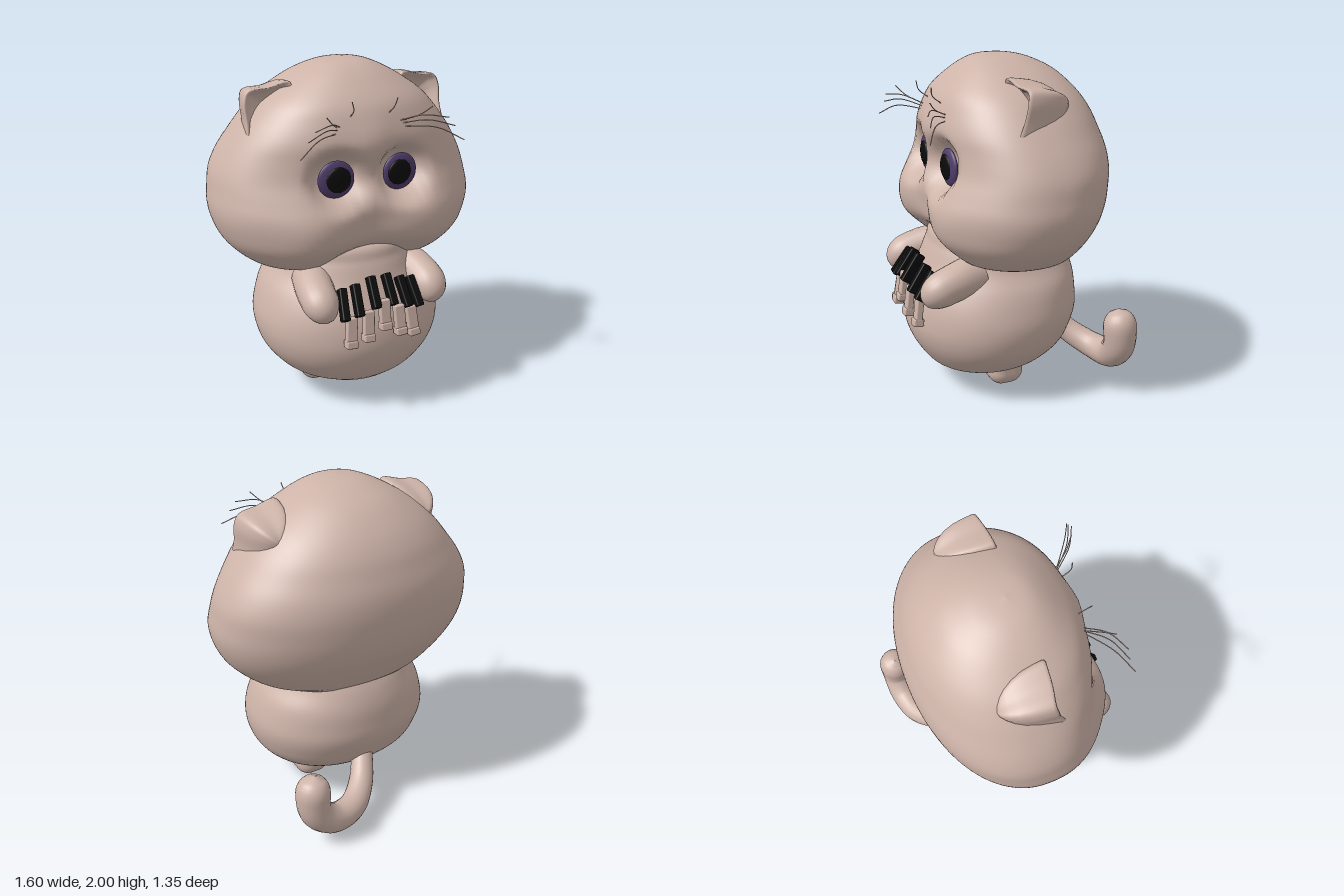
import * as THREE from 'three';
import { mergeVertices } from 'three/addons/utils/BufferGeometryUtils.js';
import { RoundedBoxGeometry } from 'three/addons/geometries/RoundedBoxGeometry.js';

const V = (x, y, z) => new THREE.Vector3(x, y, z);
const bell = (x, x0, w) => Math.exp(-(((x - x0) / w) ** 2));
const soft = (v, e) => Math.sign(v) * Math.abs(v) ** e;

// Smooth closed skin through a list of rings
function skin(rings) {
  const n = rings[0].length, index = [];
  for (let i = 0; i < rings.length - 1; i++) {
    for (let j = 0; j < n; j++) {
      const a = i * n + j, b = i * n + (j + 1) % n;
      index.push(a, b, a + n, b, b + n, a + n);
    }
  }
  const g = new THREE.BufferGeometry().setFromPoints(rings.flat());
  g.setIndex(index);
  g.computeVertexNormals();
  return g;
}

// Upright form from rows of [y, half width, front z, back z].
// Powers below 1 square the front and back outline; bump(x, y) pushes the front.
function upright(rows, frontPower, backPower, bump = () => 0, steps = 80, sides = 96) {
  const heights = new THREE.CatmullRomCurve3(rows.map(r => V(r[0], 0, 0)), false, 'catmullrom');
  const widths = new THREE.CatmullRomCurve3(rows.map(r => V(r[1], r[2], r[3])), false, 'catmullrom');
  const rings = [];
  for (let i = 0; i <= steps; i++) {
    const y = heights.getPoint(i / steps).x;
    const { x: w, y: f, z: b } = widths.getPoint(i / steps);
    const ring = [];
    for (let j = 0; j < sides; j++) {
      const a = (j / sides) * Math.PI * 2, e = Math.cos(a) > 0 ? frontPower : backPower;
      const c = soft(Math.cos(a), e), x = w * soft(Math.sin(a), e);
      ring.push(V(x, y, (f + b) / 2 + ((f - b) / 2) * c + bump(x, y) * Math.max(0, c)));
    }
    rings.push(ring);
  }
  return skin(rings);
}

// Tube whose radius follows a rule, with a rounded far end
function limb(points, r0, r1, cap) {
  const curve = new THREE.CatmullRomCurve3(points), n = 48;
  let g = new THREE.TubeGeometry(curve, n, 1, 20);
  const p = g.attributes.position, v = V(0, 0, 0);
  for (let k = 0; k < p.count; k++) {
    const t = Math.floor(k / 21) / n, c = curve.getPointAt(t);
    const e = Math.max(0, (t - 1 + cap) / cap);
    const r = (r0 + (r1 - r0) * t) * Math.sqrt(Math.max(0.0004, 1 - e * e));
    v.fromBufferAttribute(p, k).sub(c).multiplyScalar(r).add(c);
    p.setXYZ(k, v.x, v.y, v.z);
  }
  g.deleteAttribute('normal');
  g.deleteAttribute('uv');
  g = mergeVertices(g, 1e-5);
  g.computeVertexNormals();
  return g;
}

// Cupped ear: rings grow from the rounded back to the rim, then sink into the bowl
function ear(s) {
  const rim = new THREE.CatmullRomCurve3([
    V(.36, 1.7, .12), V(.47, 1.6, .13), V(.595, 1.57, .15), V(.603, 1.7, .1),
    V(.605, 1.8, .08), V(.58, 1.857, .07), V(.47, 1.875, .09), V(.34, 1.895, .1),
  ], true).getPoints(48).slice(0, 48);
  const levels = [[.02, -.29], [.22, -.28], [.42, -.255], [.6, -.222], [.77, -.175], [.9, -.115],
    [.97, -.05], [1, 0], [.985, .015], [.93, .02], [.85, .005], [.7, -.03], [.4, -.05], [.02, -.06]];
  return skin(levels.map(([k, dz]) => {
    const ring = rim.map(p => V(s * (.47 + (p.x - .47) * k), 1.75 + (p.y - 1.75) * k,
      .1 + (p.z - .1) * k + dz));
    return s < 0 ? ring.reverse() : ring;
  }));
}

export function createModel() {
  const group = new THREE.Group();
  const mat = (name, color) => Object.assign(new THREE.MeshStandardMaterial({ color }), { name });
  const fur = mat('fur', 0xcdb3a8), black = mat('black', 0x0b0b0b), purple = mat('purple', 0x4f3d6b);
  const add = (name, geometry, material, x = 0, y = 0, z = 0) => {
    const m = new THREE.Mesh(geometry, material);
    m.name = name;
    m.position.set(x, y, z);
    group.add(m);
    return m;
  };

  // Head with cheeks, eye sockets, brow, muzzle and mouth hollow
  add('head', upright([
    [.8, 0, 0, 0], [.815, .4, .25, -.3], [.85, .54, .37, -.36], [.9, .63, .44, -.4],
    [1, .73, .51, -.46], [1.1, .78, .53, -.51], [1.2, .8, .53, -.54], [1.3, .79, .5, -.555],
    [1.4, .77, .465, -.56], [1.5, .72, .455, -.55], [1.6, .65, .455, -.52], [1.7, .57, .43, -.48],
    [1.8, .47, .385, -.41], [1.9, .32, .29, -.3], [1.96, .2, .21, -.18], [1.988, .11, .14, -.08],
    [2, 0, .04, .04],
  ], .86, .95, (x, y) => {
    const ax = Math.abs(x);
    const socket = Math.exp(-((Math.hypot(ax - .195, y - 1.4) / .142) ** 4));
    return .04 * bell(ax, .4, .18) * bell(y, 1.1, .2)
      - .145 * socket
      - .05 * bell(x, 0, .16) * bell(y, 1.15, .13)
      - .17 * bell(x, 0, .24) * bell(y, .88, .13)
      + .02 * bell(x, 0, .1) * bell(y, 1.62, .14);
  }), fur);

  // Round body
  add('body', upright([
    [.1, 0, .25, .25], [.115, .2, .4, .05], [.15, .33, .46, -.13], [.2, .43, .51, -.24],
    [.3, .52, .57, -.35], [.4, .56, .6, -.4], [.5, .57, .6, -.43], [.6, .55, .58, -.43],
    [.7, .51, .54, -.42], [.8, .44, .5, -.39], [.9, .4, .46, -.34], [1, .36, .4, -.3],
    [1.06, 0, .1, .1],
  ], .96, .94), fur);

  // Curled tail
  add('tail', limb([V(.02, .32, -.32), V(.1, .2, -.44), V(.22, .135, -.54), V(.37, .14, -.58),
    V(.48, .23, -.58), V(.5, .35, -.575), V(.48, .485, -.57)], .065, .108, .13), fur);

  for (const s of [-1, 1]) {
    const side = s > 0 ? 'left' : 'right';
    add(side + 'Ear', ear(s), fur);
    add(side + 'Arm', limb([V(s * .3, .79, .28), V(s * .33, .77, .4), V(s * .34, .73, .52),
      V(s * .325, .66, .61)], .115, .1, .38), fur);
    add(side + 'Foot', new RoundedBoxGeometry(.22, .21, .22, 6, .085), fur, s * .19, .105, .065);

    // Eye: flattened ball with a domed pupil
    const iris = add(side + 'Iris', new THREE.SphereGeometry(.107, 32, 20), purple, s * .195, 1.4, .395);
    const pupil = add(side + 'Pupil', new THREE.SphereGeometry(.073, 32, 20), black, s * .187, 1.4, .413);
    iris.scale.z = pupil.scale.z = .25;
    iris.rotation.y = pupil.rotation.y = s * .05;

    // Brow whiskers
    const hairs = [
      [.18, 1.66, .35, 1.665, .48, 1.6, .6], [.18, 1.675, .3, 1.71, .43, 1.68, .58],
      [.17, 1.69, .27, 1.74, .39, 1.73, .58], [.19, 1.69, .26, 1.74, .31, 1.79, .54],
      [.115, 1.74, .12, 1.79, .135, 1.84, .47],
    ];
    for (const [x0, y0, x1, y1, x2, y2, z] of hairs) {
      const path = new THREE.CatmullRomCurve3([V(s * x0, y0, .4), V(s * x1, y1, (z + .45) / 2),
        V(s * x2, y2, z)]);
      add(side + 'Whisker', new THREE.TubeGeometry(path, 16, .003, 6), fur);
    }
  }

  // Fan of keys held by the paws
  const key = (name, w, h, d, m, x, y, z, tilt) => {
    const k = add(name, new RoundedBoxGeometry(w, h, d, 2, .008), m, x, y, z);
    k.rotation.set(tilt, 0, x * .5);
  };
  for (const s of [-1, 1]) {
    for (const [x, y, z] of [[.05, .775, .585], [.145, .74, .576], [.222, .72, .56]])
      key('blackKey', .046, .185, .06, black, s * x, y, z, -.6);
  }
  for (const [x, y, z] of [[0, .655, .63], [-.098, .6, .625], [.098, .6, .625], [-.192, .565, .6], [.192, .565, .6]]) {
    key('paleKey', .064, .17, .04, fur, x, y, z, -.15);
    key('paleKeyTip', .068, .045, .06, fur, x * 1.03, y - .07, z + .01, -.15);
  }
  return group;
}
